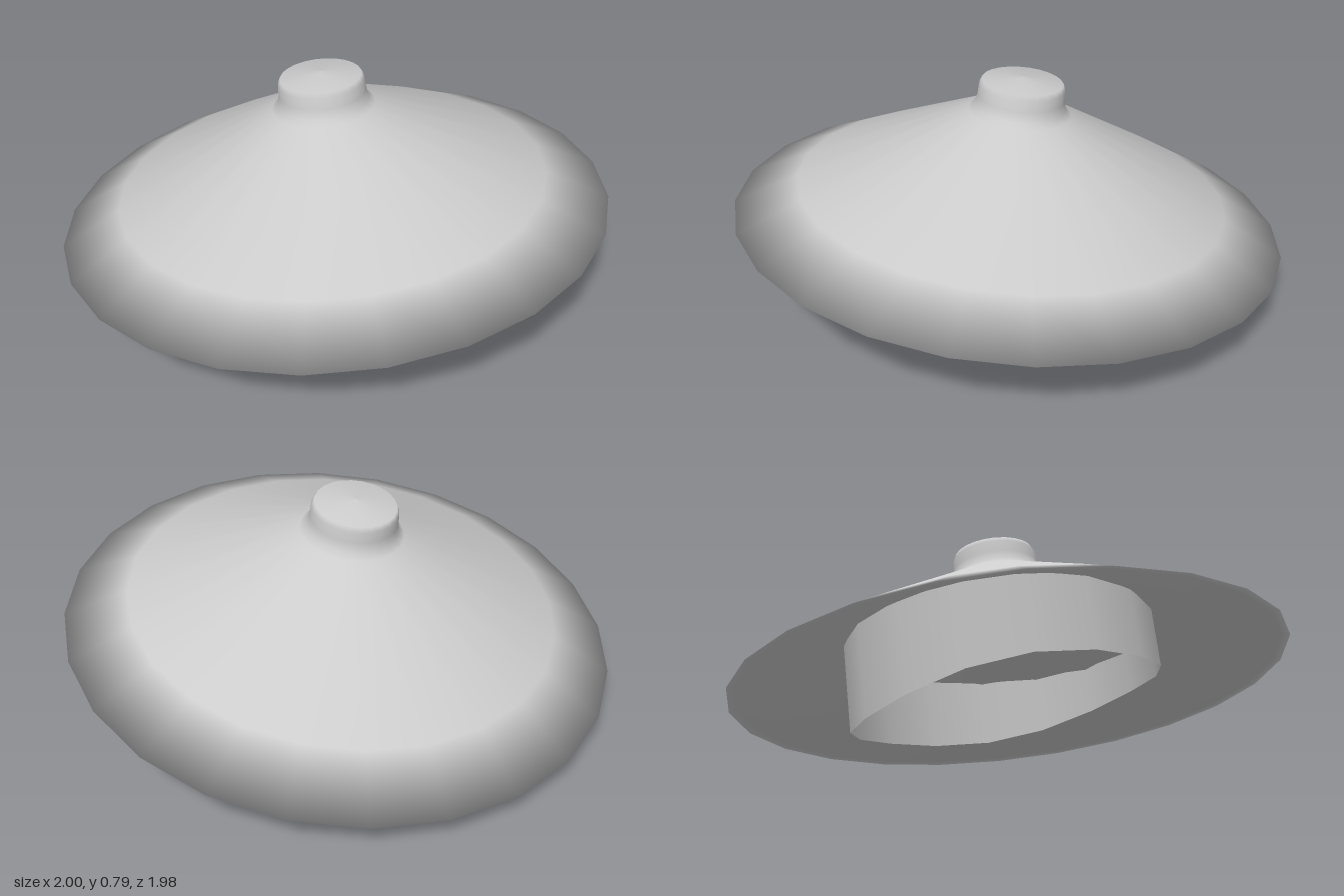
import * as THREE from 'three';

const straw = new THREE.MeshStandardMaterial({ color: 0xcccccc, side: THREE.DoubleSide });
straw.name = 'light grey';

// Wide cone with a thin shell and a short knob on top
function makeCone() {
  const profile = [
    [0, 0.38], [0.15, 0.37], [0.75, 0.1], [0.97, 0.004], // underside
    [1, 0],                                              // rim
    [0.78, 0.112], [0.185, 0.41],                        // upper slope
    [0.163, 0.43], [0.156, 0.465],                       // neck flare
    [0.154, 0.505], [0.145, 0.523], [0, 0.54],           // knob
  ].map(([r, h]) => new THREE.Vector2(r, h));
  const rim = 4;
  const geometry = new THREE.LatheGeometry(profile, 24);

  // Roll the rim normals outward and down for a soft edge
  const pos = geometry.attributes.position, normal = geometry.attributes.normal;
  for (let i = rim; i < pos.count; i += profile.length) {
    const n = new THREE.Vector3(pos.getX(i), -0.85, pos.getZ(i)).normalize();
    normal.setXYZ(i, n.x, n.y, n.z);
  }
  return geometry;
}

// Open oval band whose lower edge dips at the back and rises at the front
function makeBand() {
  const geometry = new THREE.CylinderGeometry(1, 1, 1, 16, 1, true);
  const pos = geometry.attributes.position;
  for (let i = 0; i < pos.count; i++) {
    const z = pos.getZ(i) * 0.577 - 0.015;
    const lower = -0.064 + 0.05 * z + 0.35 * z ** 3;
    pos.setXYZ(i, pos.getX(i) * 0.53, pos.getY(i) > 0 ? 0.2 : lower, z);
  }
  geometry.computeBoundingSphere();
  return geometry;
}

export function createModel() {
  const model = new THREE.Group();
  model.name = 'conicalHat';

  // The whole hat tips backward
  const hat = new THREE.Group();
  hat.name = 'tiltedHat';
  hat.position.y = 0.24;
  hat.rotation.x = THREE.MathUtils.degToRad(-8);
  model.add(hat);

  for (const [name, geometry] of [['cone', makeCone()], ['headBand', makeBand()]]) {
    const mesh = new THREE.Mesh(geometry, straw);
    mesh.name = name;
    hat.add(mesh);
  }
  return model;
}
